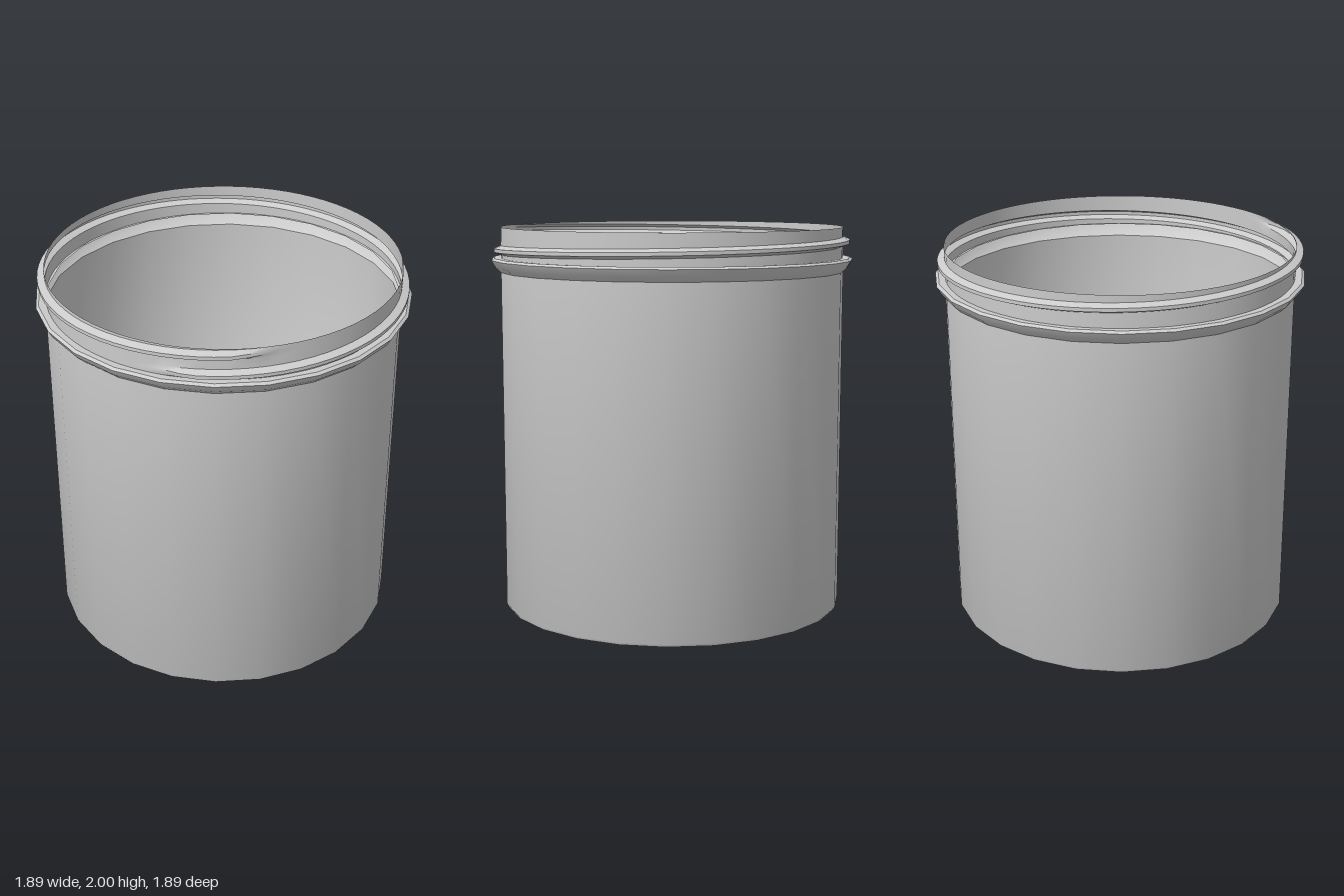
import * as THREE from 'three';
import { toCreasedNormals } from 'three/addons/utils/BufferGeometryUtils.js';

const SIDES = 24;
const NECK_RADIUS = 0.892, NECK_BOTTOM = 1.84, NECK_TOP = 2;

const material = new THREE.MeshStandardMaterial({ color: 0xcccccc, side: THREE.DoubleSide });

function addMesh(group, name, geometry, crease) {
  const mesh = new THREE.Mesh(toCreasedNormals(geometry, crease), material);
  mesh.name = name;
  group.add(mesh);
}

function lathe(points) {
  return new THREE.LatheGeometry(points.map(([r, y]) => new THREE.Vector2(r, y)), SIDES);
}

// Neck wall whose rows follow a rising screw thread; angle 0 is the front
function threadedNeck() {
  const pitch = 0.1, depth = 0.036, crest = 0.009, foot = 0.024;
  const section = [[-foot, 0], [-crest, 1], [crest, 1], [foot, 0]];
  const columns = 72, rows = 9;
  const geometry = new THREE.PlaneGeometry(1, 1, columns, rows);
  const position = geometry.attributes.position;
  for (let c = 0; c <= columns; c++) {
    const angle = -Math.PI + (c / columns) * Math.PI * 2;
    const lowCentre = 1.87 + pitch * angle / (Math.PI * 2);
    // The lower turn fades in and the upper turn fades out at the front
    const lowTurn = THREE.MathUtils.smoothstep(angle, -0.36, -0.08);
    const highTurn = 1 - THREE.MathUtils.smoothstep(angle, 0.05, 0.33);
    const profile = [
      [NECK_BOTTOM, 0],
      ...section.map(([dy, h]) => [lowCentre + dy, h * lowTurn]),
      ...section.map(([dy, h]) => [lowCentre + pitch + dy, h * highTurn]),
      [NECK_TOP, 0],
    ];
    profile.forEach(([y, h], i) => {
      const r = NECK_RADIUS + h * depth;
      const index = (rows - i) * (columns + 1) + c;
      position.setXYZ(index, r * Math.sin(angle),
        THREE.MathUtils.clamp(y, NECK_BOTTOM, NECK_TOP), r * Math.cos(angle));
    });
  }
  return geometry;
}

export function createModel() {
  const jar = new THREE.Group();
  jar.name = 'jar';

  // Flat base, tiny bottom bevel and straight wall
  addMesh(jar, 'body', lathe([[0, 0], [0.89, 0], [0.898, 0.015], [0.898, 1.77]]), 0.6);

  // Flared ring under the neck
  addMesh(jar, 'collar', lathe([
    [0.898, 1.77], [0.925, 1.795], [0.946, 1.832], [0.932, 1.843], [0.885, NECK_BOTTOM],
  ]), 0.6);

  // Thin open neck with its thread
  addMesh(jar, 'threadedNeck', threadedNeck(), 0.9);

  return jar;
}
